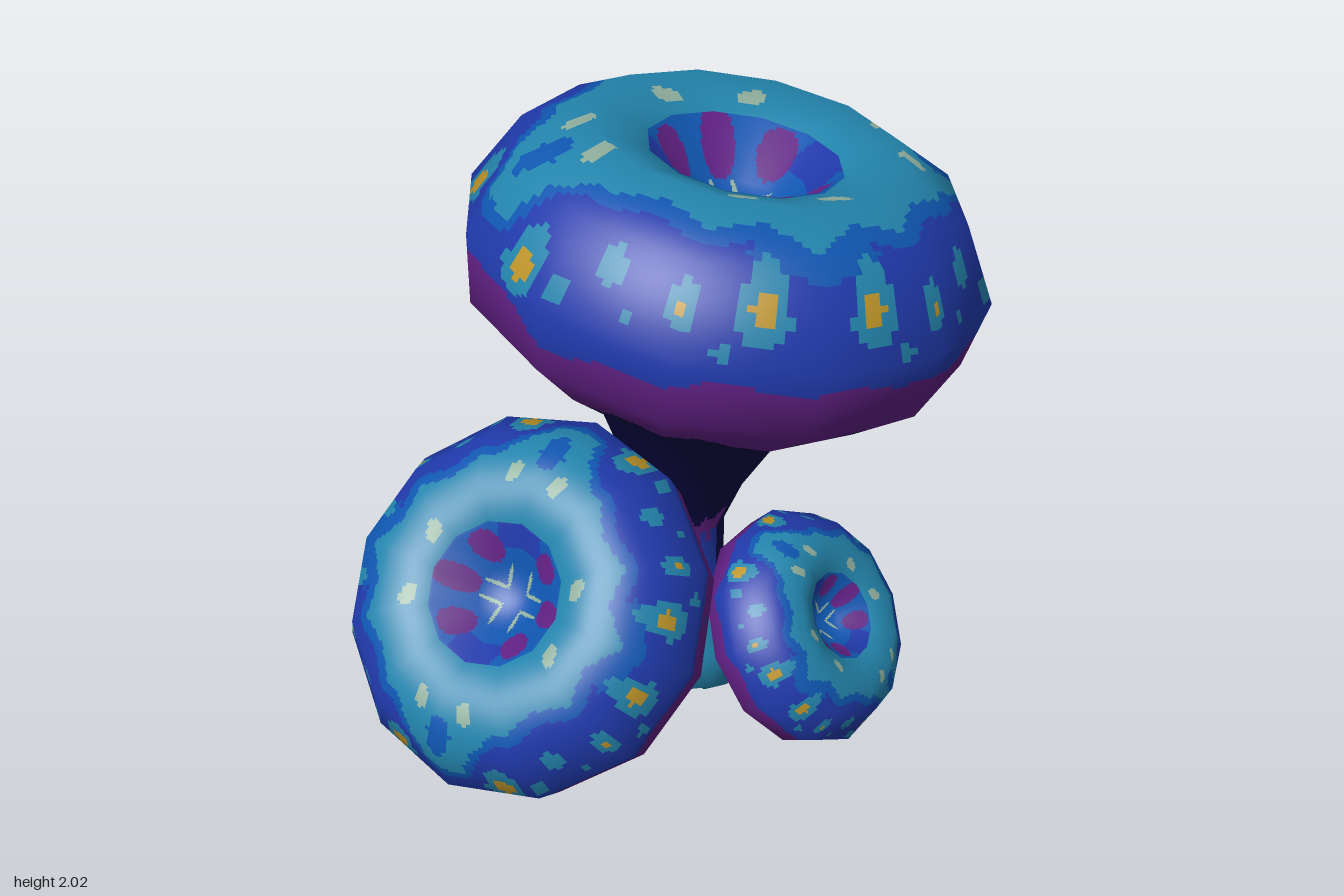
import * as THREE from 'three';

const SIDES = 12;

const mat = (name, color) => {
  const m = new THREE.MeshStandardMaterial({ color });
  m.name = name;
  return m;
};
const MATERIALS = [
  mat('teal', 0x2384ac), mat('royalBlue', 0x2039aa), mat('midBlue', 0x0f56b0), mat('purple', 0x602083),
  mat('navy', 0x080642), mat('amber', 0xbd942a), mat('paleGreen', 0x8fae9c),
];
const [TEAL, BLUE, MID, PURPLE, NAVY, AMBER, PALE] = [0, 1, 2, 3, 4, 5, 6];

// Profile [radius, height from the cap centre], from the dimple out and down to the foot
const CAP = [[0, 0.06], [0.14, 0.13], [0.27, 0.27], [0.457, 0.33], [0.645, 0.225],
  [0.767, 0.01], [0.73, -0.2], [0.56, -0.35], [0.32, -0.5]];
const STEM = [[0.32, -0.5], [0.17, -0.81], [0.12, -0.95], [0.115, -1.24]];
const BULB = [[0.115, -1.24], [0.2, -1.38], [0.185, -1.53], [0.12, -1.57], [0, -1.58]];

const oval = (x, z, cx, cz, rx, rz) => ((x - cx) / rx) ** 2 + ((z - cz) / rz) ** 2 < 1;

// Colour of the cap's upper side, mirrored over both axes
function paintTop(x, z, r, a) {
  if (r < 0.29) {
    if (oval(x, z, 0, 0.215, 0.055, 0.08) || oval(x, z, 0.16, 0.14, 0.055, 0.065)) return PURPLE;
    if (oval(x, z, 0.08, 0.045, 0.05, 0.008) || oval(x, z, 0.035, 0.09, 0.008, 0.05)) return PALE;
    return r > 0.2 && z < 0.1 ? BLUE : MID;
  }
  if (oval(x, z, 0.135, 0.34, 0.045, 0.03) || oval(x, z, 0.48, 0.1, 0.045, 0.03)) return PALE;
  if (oval(x, z, 0.59, 0, 0.075, 0.055)) return MID;
  // Round teal field with a broad tongue along x, edged in mid blue
  const edge = 0.53 + 0.015 * Math.cos(12 * a);
  const tongue = 0.25 - 0.7 * (x - 0.48);
  if (r < edge || (z < tongue && x < 0.71)) return TEAL;
  if (r < edge + 0.05 || (z < tongue + 0.035 && x < 0.73) || oval(x, z, 0, 0.58, 0.19, 0.07)) return MID;
  return -1;
}

// Spots on the flank: [angle from the x axis, height, amber size, halo size]
const SPOTS = [[0.35, 0.05, 0.04, 0.083], [1.34, 0.14, 0.04, 0.085], [1.03, 0.12, 0.016, 0.05],
  [0.72, 0.15, 0, 0.045], [0.56, 0.05, 0, 0.03], [0.85, 0.05, 0, 0.018], [1.2, 0.03, 0, 0.02]];

function paint(r, t, a) {
  const x = Math.abs(r * Math.cos(a)), z = Math.abs(r * Math.sin(a));
  const wave = 0.015 * Math.cos(6 * a) + 0.012 * Math.sin(14 * a);
  if (t > -0.08 && r > 0.5) {
    const b = Math.atan2(z, x);
    for (const [angle, height, core, halo] of SPOTS) {
      // Halos taper upwards like drops
      const rise = t - height;
      const side = (b - angle) * 0.75;
      if (Math.hypot(side, rise) < core) return AMBER;
      if (Math.hypot(side * (rise > 0 ? 1.15 : 1), rise * (rise > 0 ? 0.75 : 1)) < halo) return TEAL;
    }
  }
  if (t > 0.05) {
    const c = paintTop(x, z, r, a);
    if (c >= 0) return c;
  }
  if (t > -0.075 + 0.035 * Math.cos(4 * a) + wave) return BLUE;
  if (t > -0.34 + wave) return PURPLE;
  if (t > -0.88 + wave) return NAVY;
  // Dark tongue down one side of the stem
  if (t > -1.2 + wave && Math.cos(a - 0.25) > 0.75) return NAVY;
  if (t > -0.97 + wave) return PURPLE;
  if (t > -1.2 + wave) return Math.cos(2 * a) > 0.6 ? MID : BLUE;
  return Math.abs(t + 1.33) < 0.03 && Math.cos(5 * a) > 0.7 ? MID : TEAL;
}

// Flat-sided shell, finely divided so that colour patches follow its faces
function shell(name, profile, sub, place, slope) {
  const rows = profile.map(([r, t], i) => {
    const [r0, t0] = profile[Math.max(i - 1, 0)], [r1, t1] = profile[Math.min(i + 1, profile.length - 1)];
    const nl = slope(r, t) ?? [t0 - t1, r1 - r0];
    return Array.from({ length: SIDES + 1 }, (_, j) => {
      const a = (j / SIDES) * Math.PI * 2;
      const { point, turn } = place(r, t, a);
      const n = new THREE.Vector3(nl[0] * Math.cos(a), nl[1], nl[0] * Math.sin(a)).normalize();
      return { p: point, n: n.applyQuaternion(turn) };
    });
  });
  const blend = (key, i, j, u, v) => rows[i][j][key].clone().lerp(rows[i][j + 1][key], u)
    .lerp(rows[i + 1][j][key].clone().lerp(rows[i + 1][j + 1][key], u), v);

  const buckets = MATERIALS.map(() => ({ p: [], n: [] }));
  for (let i = 0; i < profile.length - 1; i++) {
    for (let j = 0; j < SIDES; j++) {
      for (let k = 0; k < sub * sub; k++) {
        const u = (k % sub) / sub, v = Math.floor(k / sub) / sub, s = 1 / sub;
        const vm = v + s / 2;
        const r = THREE.MathUtils.lerp(profile[i][0], profile[i + 1][0], vm);
        const t = THREE.MathUtils.lerp(profile[i][1], profile[i + 1][1], vm);
        const bucket = buckets[paint(r, t, ((j + u + s / 2) / SIDES) * Math.PI * 2)];
        for (const [du, dv] of [[0, 0], [s, s], [0, s], [0, 0], [s, 0], [s, s]]) {
          bucket.p.push(...blend('p', i, j, u + du, v + dv).toArray());
          bucket.n.push(...blend('n', i, j, u + du, v + dv).normalize().toArray());
        }
      }
    }
  }
  const geometry = new THREE.BufferGeometry();
  let start = 0;
  buckets.forEach(({ p }, m) => {
    if (p.length) geometry.addGroup(start, p.length / 3, m);
    start += p.length / 3;
  });
  const attribute = (key) => new THREE.Float32BufferAttribute(buckets.flatMap((b) => b[key]), 3);
  geometry.setAttribute('position', attribute('p'));
  geometry.setAttribute('normal', attribute('n'));
  const mesh = new THREE.Mesh(geometry, MATERIALS);
  mesh.name = name;
  return mesh;
}

// One mushroom: cap centre, cap axis, centre of the bulb, scale, roll about the axis, stem curvature
function mushroom(name, centre, axis, foot, scale, roll, curvature) {
  const up = new THREE.Vector3(0, 1, 0);
  const P = new THREE.Vector3(...centre), n = new THREE.Vector3(...axis).normalize();
  const B = new THREE.Vector3(...foot);
  const A = P.clone().addScaledVector(n, -0.35 * scale);
  const bend = A.clone().addScaledVector(n, -curvature * A.distanceTo(B));
  const curve = new THREE.QuadraticBezierCurve3(A, bend, B);
  const spin = new THREE.Quaternion().setFromAxisAngle(up, roll);

  const place = (r, t, a) => {
    // Everything inside the cap stays on its axis; the stem and bulb follow the curve
    const q = (t + 0.35) / -1.06;
    const mid = q <= 0 ? P.clone().addScaledVector(n, t * scale) : curve.getPoint(Math.min(q, 1));
    const dir = n.clone();
    if (q > 0) {
      const k = Math.min(q, 1);
      dir.copy(bend).sub(A).lerp(B.clone().sub(bend), k).normalize().negate();
      if (q > 1) mid.addScaledVector(dir, (t + 1.41) * scale);
    }
    const turn = new THREE.Quaternion().setFromUnitVectors(up, dir).multiply(spin);
    const point = new THREE.Vector3(r * Math.cos(a), 0, r * Math.sin(a))
      .multiplyScalar(scale).applyQuaternion(turn).add(mid);
    return { point, turn };
  };
  // Shared normals where the parts meet or close
  const slope = (r, t) => {
    if (r === 0) return [0, t > -0.5 ? 1 : -1];
    if (t === -0.5) return [0.46, -0.39];
    if (t === -1.24) return [0.4, 0.08];
    return undefined;
  };
  const group = new THREE.Group();
  group.name = name;
  group.add(
    shell('cap', CAP, 14, place, slope),
    shell('stem', STEM, 7, place, slope),
    shell('bulb', BULB, 6, place, slope),
  );
  return group;
}

export function createModel() {
  const model = new THREE.Group();
  model.name = 'mushroomCluster';
  model.add(
    mushroom('tallMushroom', [0.225, 1.6, -0.05], [0.174, 0.985, 0], [0.135, 0.2, -0.055], 1, 0, 0.5),
    mushroom('middleMushroom', [-0.5, 0.74, 0.325], [-0.53, 0.69, 0.49], [-0.19, 0.135, 0.05], 0.725, 0.71, 0.35),
    mushroom('smallMushroom', [0.39, 0.43, 0.315], [0.55, 0.6, 0.58], [0.18, 0.09, 0.01], 0.48, -0.66, 0.35),
  );
  return model;
}
